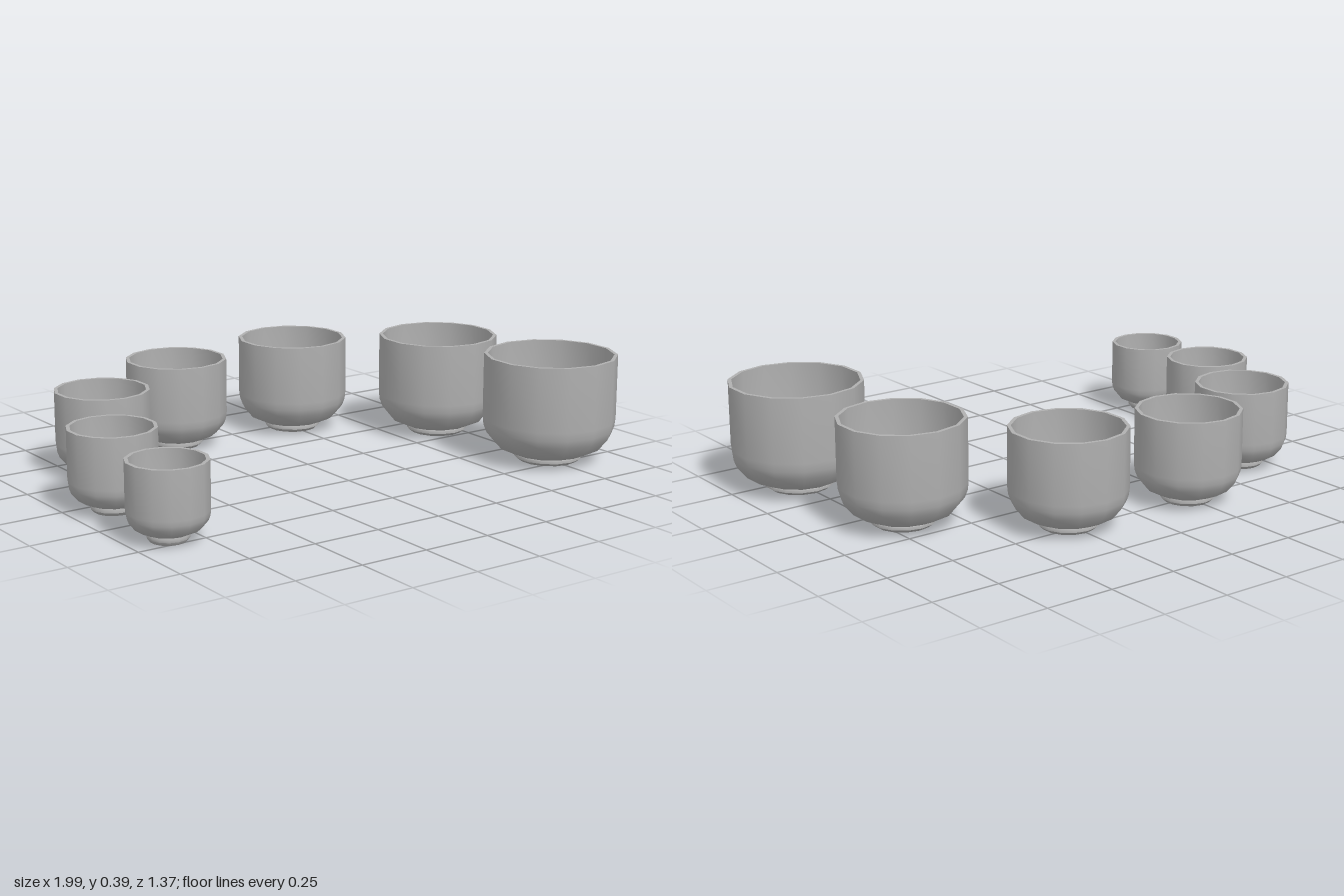
import * as THREE from 'three';
import { toCreasedNormals } from 'three/addons/utils/BufferGeometryUtils.js';

const SIDES = 14;
const FOOT = 0.03; // height of the foot ring
const WALL = 0.013; // thickness of the wall

// x, z, radius and height of each bowl, smallest to largest
const BOWLS = [
  [-0.86, 0.45, 0.138, 0.27],
  [-0.845, 0.075, 0.154, 0.29],
  [-0.66, -0.32, 0.17, 0.31],
  [-0.243, -0.503, 0.187, 0.33],
  [0.257, -0.47, 0.205, 0.353],
  [0.68, -0.108, 0.222, 0.375],
  [0.76, 0.44, 0.24, 0.392],
];

// Rounded underside as [share of radius, rise in radii above the foot]
const CURVE = [[0.57, 0], [0.79, 0.1], [0.94, 0.28], [0.985, 0.4], [1, 0.53]];

function lathe(points) {
  const profile = points.map(([r, y]) => new THREE.Vector2(r, y));
  return toCreasedNormals(new THREE.LatheGeometry(profile, SIDES), 0.7);
}

// Closed shell: underside, outer wall, rim, inner wall, inner floor
function cupGeometry(r, h) {
  const outer = CURVE.map(([k, y]) => [k * r, FOOT + y * r]);
  const inner = CURVE.map(([k, y]) => [k * (r - WALL), FOOT + WALL + y * r]).reverse();
  return lathe([[0, FOOT], ...outer, [r, h], [r - WALL, h], ...inner, [0, FOOT + WALL]]);
}

// Foot ring with a chamfered lower edge and flat base
function footGeometry(r) {
  return lathe([[0, 0], [0.44 * r, 0], [0.51 * r, 0.012], [0.51 * r, 0.022], [0.48 * r, FOOT + 0.002]]);
}

export function createModel() {
  const stoneware = new THREE.MeshStandardMaterial({ color: 0xb0b0b0 });
  stoneware.name = 'grey stoneware';
  const model = new THREE.Group();
  model.name = 'bowlSet';

  BOWLS.forEach(([x, z, r, h], i) => {
    const bowl = new THREE.Group();
    bowl.name = `bowl${i + 1}`;
    const cup = new THREE.Mesh(cupGeometry(r, h), stoneware);
    cup.name = 'cup';
    const foot = new THREE.Mesh(footGeometry(r), stoneware);
    foot.name = 'foot';
    bowl.add(cup, foot);
    bowl.position.set(x, 0, z);
    model.add(bowl);
  });
  return model;
}
